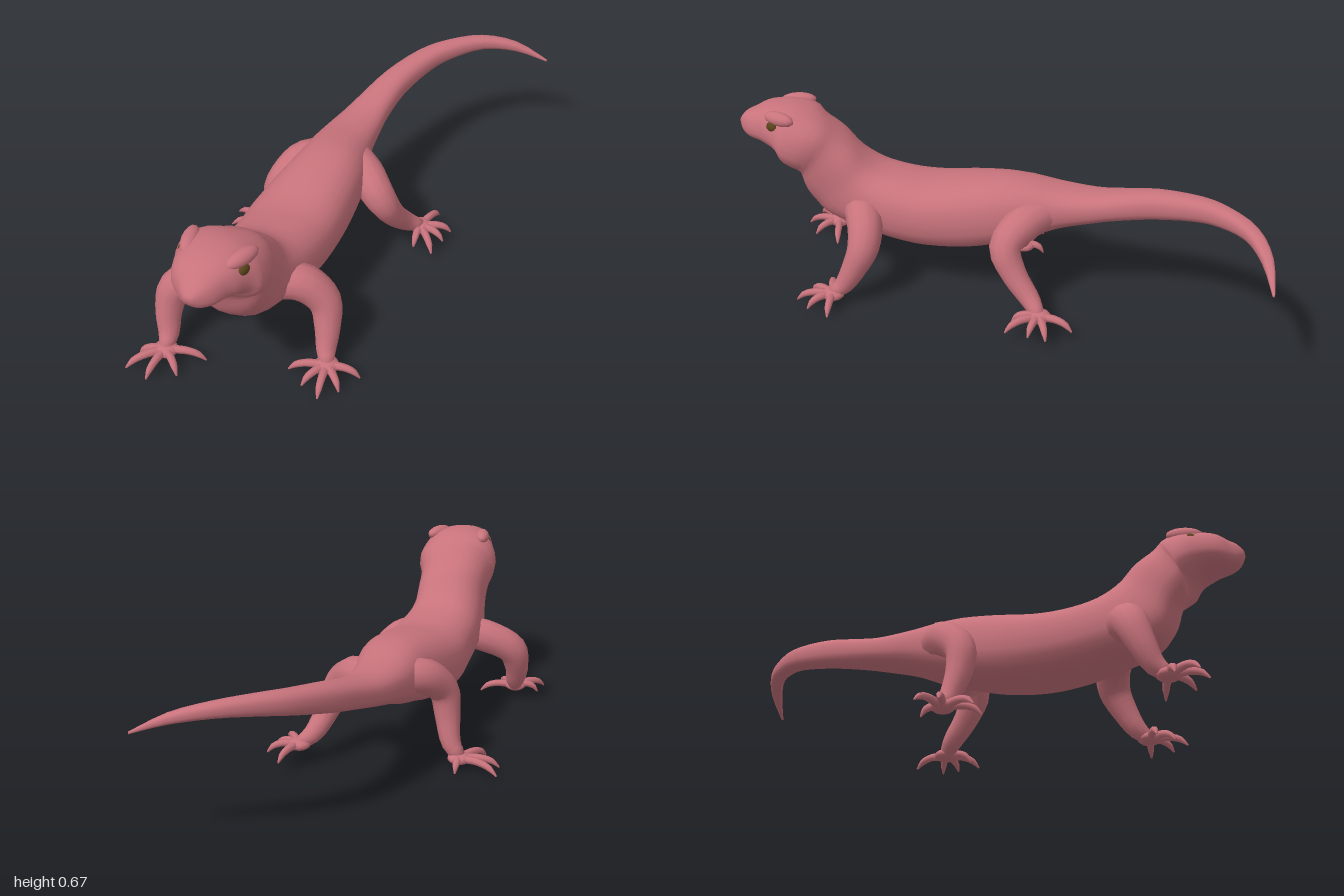
import * as THREE from 'three';

const skin = new THREE.MeshStandardMaterial({ color: 0xc8737c });
skin.name = 'rose skin';
const iris = new THREE.MeshStandardMaterial({ color: 0x5a431c });
iris.name = 'olive eye';

// Closed skin over rings of points; both ends are drawn together to a point.
function loft(rings) {
  const n = rings[0].length;
  const centre = (ring) => {
    const c = new THREE.Vector3();
    ring.forEach((p) => c.addScaledVector(p, 1 / n));
    return ring.map(() => c);
  };
  const all = [centre(rings[0]), ...rings, centre(rings[rings.length - 1])];
  const index = [];
  for (let i = 0; i < all.length - 1; i++) {
    for (let j = 0; j < n; j++) {
      const a = i * n + j, b = i * n + (j + 1) % n;
      if (i < all.length - 2) index.push(a, a + n, b);
      else index.push(a, a + n, b);
      if (i > 0 || rings.length) index.push(b, a + n, b + n);
    }
  }
  const g = new THREE.BufferGeometry().setFromPoints(all.flat());
  g.setIndex(index);
  g.computeVertexNormals();
  return g;
}

function add(parent, name, geometry, material = skin) {
  const mesh = new THREE.Mesh(geometry, material);
  mesh.name = name;
  parent.add(mesh);
  return mesh;
}

// Smooth interpolation between rows of numbers
function smoothRows(rows, steps) {
  const out = [];
  const at = (i) => rows[THREE.MathUtils.clamp(i, 0, rows.length - 1)];
  for (let i = 0; i < rows.length - 1; i++) {
    for (let s = 0; s < steps; s++) {
      const t = s / steps;
      out.push(rows[i].map((b, k) => {
        const a = at(i - 1)[k], c = at(i + 1)[k], d = at(i + 2)[k];
        return b + 0.5 * t * (c - a + t * (2 * a - 5 * b + 4 * c - d + t * (3 * (b - c) + d - a)));
      }));
    }
  }
  out.push(rows[rows.length - 1]);
  return out;
}

// Head, trunk and tail: centre x, half width, top z, top y, bottom z, bottom y, narrowing upward
const headRows = [
  [0.01, 0.014, 0.997, 0.602, 0.997, 0.582, 0],
  [0.01, 0.042, 0.975, 0.628, 0.98, 0.553, 0.05],
  [0.008, 0.075, 0.935, 0.648, 0.945, 0.537, 0.1],
  [0, 0.105, 0.89, 0.667, 0.895, 0.528, 0.1],
  [-0.003, 0.126, 0.83, 0.675, 0.85, 0.513, 0.1],
  [-0.005, 0.148, 0.765, 0.67, 0.82, 0.488, 0.14],
  [-0.005, 0.15, 0.7, 0.645, 0.795, 0.45, 0.12],
  [-0.015, 0.133, 0.64, 0.6, 0.77, 0.4, 0.03],
  [-0.02, 0.13, 0.58, 0.545, 0.74, 0.32, 0],
];
const trunkRows = [
  [-0.03, 0.135, 0.52, 0.485, 0.69, 0.26, 0],
  [-0.035, 0.146, 0.46, 0.45, 0.58, 0.225, 0],
  [-0.035, 0.157, 0.37, 0.434, 0.42, 0.188, 0],
  [-0.04, 0.164, 0.27, 0.43, 0.28, 0.174, 0],
  [-0.037, 0.155, 0.13, 0.455, 0.13, 0.187, 0.03],
  [-0.037, 0.138, 0, 0.47, 0, 0.22, 0.05],
  [-0.05, 0.122, -0.1, 0.462, -0.1, 0.25, 0.05],
];
const tailRows = [
  [-0.058, 0.102, -0.2, 0.445, -0.2, 0.29, 0],
  [-0.055, 0.083, -0.32, 0.442, -0.32, 0.325, 0],
  [-0.045, 0.068, -0.42, 0.46, -0.42, 0.352, 0],
  [-0.022, 0.055, -0.55, 0.49, -0.55, 0.385, 0],
  [0.033, 0.045, -0.7, 0.513, -0.7, 0.425, 0],
  [0.1, 0.037, -0.8, 0.522, -0.8, 0.45, 0],
  [0.2, 0.029, -0.9, 0.518, -0.9, 0.465, 0],
  [0.32, 0.02, -0.965, 0.487, -0.965, 0.45, 0],
  [0.44, 0.004, -1, 0.42, -1, 0.411, 0],
];

function bodyGeometry() {
  const rows = smoothRows([...headRows, ...trunkRows, ...tailRows], 3);
  const power = (v) => Math.sign(v) * Math.abs(v) ** 0.82;
  const rings = rows.map(([x, w, tz, ty, bz, by, taper], i) => {
    const p = rows[Math.max(i - 1, 0)], q = rows[Math.min(i + 1, rows.length - 1)];
    const side = new THREE.Vector2(p[2] + p[4] - q[2] - q[4], 2 * (q[0] - p[0])).normalize();
    return Array.from({ length: 24 }, (_, j) => {
      const a = (j / 24) * Math.PI * 2;
      const v = power(Math.sin(a));
      const s = power(Math.cos(a)) * w * (1 - taper * v);
      return new THREE.Vector3(
        x + side.x * s,
        (ty + by) / 2 + v * (ty - by) / 2,
        (tz + bz) / 2 + v * (tz - bz) / 2 + side.y * s);
    });
  });
  return loft(rings);
}

// Tapered limb through points [x, y, z, radius]
function limb(points, steps, sides) {
  const curve = new THREE.CatmullRomCurve3(points.map((p) => new THREE.Vector3(p[0], p[1], p[2])));
  const { normals, binormals } = curve.computeFrenetFrames(steps);
  const rings = [];
  for (let i = 0; i <= steps; i++) {
    const t = curve.getUtoTmapping(i / steps) * (points.length - 1);
    const k = Math.min(Math.floor(t), points.length - 2);
    const r = THREE.MathUtils.lerp(points[k][3], points[k + 1][3], t - k);
    const c = curve.getPointAt(i / steps);
    rings.push(Array.from({ length: sides }, (_, j) => {
      const a = (j / sides) * Math.PI * 2;
      return c.clone().addScaledVector(normals[i], Math.cos(a) * r).addScaledVector(binormals[i], -Math.sin(a) * r);
    }));
  }
  return loft(rings);
}

// Legs: joints from the trunk to the palm, palm centre, toe tips [x, z]
const legs = [
  { name: 'leftFrontLeg', palm: [0.255, 0.05, 0.575],
    joints: [[0.03, 0.31, 0.55, 0.06], [0.12, 0.3, 0.49, 0.067], [0.195, 0.23, 0.47, 0.058], [0.22, 0.15, 0.5, 0.046], [0.235, 0.08, 0.54, 0.035], [0.255, 0.052, 0.575, 0.024]],
    toes: [[0.37, 0.555], [0.335, 0.645], [0.285, 0.705], [0.21, 0.675], [0.135, 0.625]] },
  { name: 'rightFrontLeg', palm: [-0.27, 0.05, 0.755],
    joints: [[-0.08, 0.32, 0.58, 0.06], [-0.18, 0.3, 0.605, 0.065], [-0.28, 0.245, 0.645, 0.06], [-0.295, 0.16, 0.68, 0.047], [-0.28, 0.085, 0.715, 0.036], [-0.27, 0.052, 0.755, 0.024]],
    toes: [[-0.135, 0.715], [-0.185, 0.825], [-0.27, 0.885], [-0.36, 0.87], [-0.355, 0.79]] },
  { name: 'leftHindLeg', palm: [0.255, 0.085, -0.2],
    joints: [[-0.01, 0.36, -0.16, 0.06], [0.08, 0.34, -0.09, 0.068], [0.155, 0.285, -0.05, 0.058], [0.185, 0.2, -0.09, 0.046], [0.215, 0.12, -0.16, 0.036], [0.255, 0.085, -0.2, 0.024]],
    toes: [[0.28, -0.325], [0.36, -0.25], [0.355, -0.185], [0.345, -0.1], [0.27, -0.105]] },
  { name: 'rightHindLeg', palm: [-0.29, 0.04, -0.005],
    joints: [[-0.1, 0.36, -0.12, 0.06], [-0.165, 0.355, -0.05, 0.066], [-0.215, 0.28, 0.03, 0.056], [-0.23, 0.19, 0.03, 0.047], [-0.255, 0.09, 0.005, 0.036], [-0.29, 0.045, -0.005, 0.024]],
    toes: [[-0.3, -0.08], [-0.445, -0.045], [-0.43, 0.035], [-0.35, 0.125], [-0.25, 0.12]] },
];

function buildLeg({ name, palm, joints, toes }) {
  const leg = new THREE.Group();
  leg.name = name;
  add(leg, 'limb', limb(joints, 18, 12));
  const [x, y, z] = palm;
  const pad = add(leg, 'palm', new THREE.SphereGeometry(1, 12, 8));
  pad.position.set(x, y, z);
  pad.scale.set(0.043, 0.022, 0.043);
  for (const [tx, tz] of toes) {
    const along = (f, h, r) => [x + (tx - x) * f, y + h, z + (tz - z) * f, r];
    add(leg, 'toe', limb([along(0.1, 0, 0.016), along(0.5, 0.004, 0.014), along(0.8, -0.006, 0.012), along(1, -0.03, 0.003)], 8, 7));
  }
  return leg;
}

export function createModel() {
  const model = new THREE.Group();
  model.name = 'lizard';
  add(model, 'body', bodyGeometry());
  legs.forEach((leg) => model.add(buildLeg(leg)));

  // Brows and eyes on both sides of the head
  for (const s of [-1, 1]) {
    const brow = add(model, 'brow', new THREE.SphereGeometry(1, 14, 10));
    brow.position.set(s * 0.092, 0.648, 0.81);
    brow.scale.set(0.028, 0.026, 0.065);
    brow.rotation.y = -s * 0.3;
    const eye = add(model, 'eye', new THREE.SphereGeometry(1, 14, 10), iris);
    eye.position.set(s * 0.108, 0.621, 0.832);
    eye.scale.set(0.014, 0.019, 0.024);
    eye.rotation.y = -s * 0.3;
  }
  return model;
}
